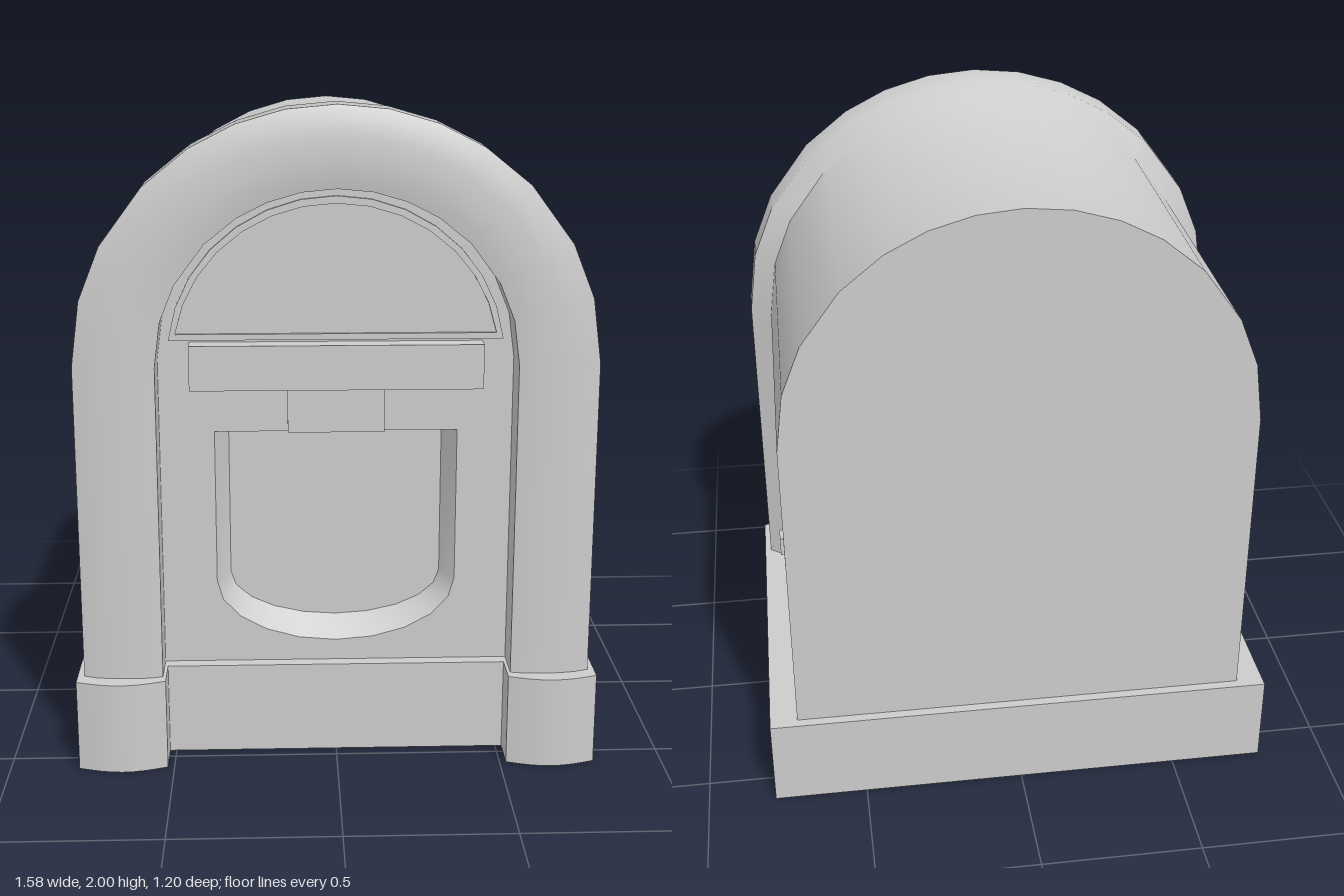
import * as THREE from 'three';
import { toCreasedNormals } from 'three/addons/utils/BufferGeometryUtils.js';

const SPRING = 1.25; // height where straight sides turn into the arch
const FLOOR = 0.285; // top of the base
const PANEL_Z = 0.42;
const HALF = [0, 15, 28, 44, 57, 68, 79];
const ANGLES = [...HALF, 90, ...HALF.map((a) => 180 - a).reverse()].map(THREE.MathUtils.degToRad);

const material = new THREE.MeshStandardMaterial({ color: 0xcccccc });

// Arch outline from the +x foot over the top to the -x foot
const archOutline = (rx, ry) => [
  [rx, FLOOR - 0.01],
  ...ANGLES.map((a) => [rx * Math.cos(a), SPRING + ry * Math.sin(a)]),
  [-rx, FLOOR - 0.01],
];

// Half-round window outline with a flat sill
function windowOutline(rx, ry, sill) {
  const start = Math.asin((sill - SPRING) / ry);
  const points = [];
  for (let i = 0; i <= 14; i++) {
    const a = start + ((Math.PI - 2 * start) * i) / 14;
    points.push([rx * Math.cos(a), SPRING + ry * Math.sin(a)]);
  }
  return points;
}

// Flat-topped opening with a rounded bottom, counter-clockwise
function openingOutline(rx, ry) {
  const points = [[rx, 1.025], [-rx, 1.025]];
  for (let i = 0; i <= 10; i++) {
    const a = Math.PI + (Math.PI * i) / 10;
    points.push([rx * Math.cos(a), 0.55 + ry * Math.sin(a)]);
  }
  return points;
}

const toShape = (points) => new THREE.Shape(points.map(([x, y]) => new THREE.Vector2(x, y)));
const toHole = (points) => new THREE.Path(points.map(([x, y]) => new THREE.Vector2(x, y)));

// Skin between outlines, each given as [points, z]
function loft(rings, closed = false) {
  const n = rings[0][0].length;
  const positions = [];
  const index = [];
  for (const [points, z] of rings) for (const [x, y] of points) positions.push(x, y, z);
  for (let r = 0; r < rings.length - 1; r++) {
    for (let i = 0; i < (closed ? n : n - 1); i++) {
      const a = r * n + i;
      const b = r * n + ((i + 1) % n);
      index.push(a, b, a + n, b, b + n, a + n);
    }
  }
  const geometry = new THREE.BufferGeometry();
  geometry.setAttribute('position', new THREE.Float32BufferAttribute(positions, 3));
  geometry.setIndex(index);
  return toCreasedNormals(geometry, THREE.MathUtils.degToRad(50));
}

export function createModel() {
  const group = new THREE.Group();
  const add = (name, geometry, x = 0, y = 0, z = 0) => {
    const mesh = new THREE.Mesh(geometry, material);
    mesh.name = name;
    mesh.position.set(x, y, z);
    group.add(mesh);
    return mesh;
  };
  const addBox = (name, w, h, d, x, y, z) => add(name, new THREE.BoxGeometry(w, h, d), x, y, z);

  // Base: slab footprint with a bow-fronted foot under each side of the arch
  const foot = [];
  for (let i = 0; i <= 8; i++) {
    const t = i / 8;
    foot.push([0.79 - 0.27 * t, 0.57 + 0.03 * Math.sin(Math.PI * t)]);
  }
  const footprint = [
    [0.79, -0.6], ...foot, [0.52, 0.46],
    [-0.52, 0.46], ...foot.map(([x, z]) => [-x, z]).reverse(), [-0.79, -0.6],
  ].map(([x, z]) => [x, -z]);
  const base = new THREE.ExtrudeGeometry(toShape(footprint), { depth: FLOOR, bevelEnabled: false });
  base.rotateX(-Math.PI / 2);
  add('base', toCreasedNormals(base, 0.6));

  // Vaulted body flaring into the thick rounded front arch
  add('bodyAndFrontArch', loft([
    [0.705, 0.7, -0.57],
    [0.705, 0.7, 0.35],
    [0.77, 0.75, 0.4],
    [0.77, 0.75, 0.525],
    [0.73, 0.71, 0.539],
    [0.68, 0.66, 0.547],
    [0.62, 0.6, 0.549],
    [0.57, 0.553, 0.546],
    [0.53, 0.515, 0.538],
    [0.53, 0.515, PANEL_Z],
  ].map(([rx, ry, z]) => [archOutline(rx, ry), z])));

  const back = new THREE.ShapeGeometry(toShape(archOutline(0.705, 0.7)));
  back.rotateY(Math.PI);
  add('backWall', back, 0, 0, -0.57);

  // Front panel with its funnel-shaped recess
  const outer = openingOutline(0.365, 0.2);
  const inner = openingOutline(0.325, 0.145);
  const panel = toShape(archOutline(0.53, 0.515));
  panel.holes.push(toHole(outer));
  add('frontPanel', new THREE.ShapeGeometry(panel), 0, 0, PANEL_Z);
  add('recessWall', loft([[outer, PANEL_Z], [inner, 0.34]], true));
  add('recessBack', new THREE.ShapeGeometry(toShape(inner)), 0, 0, 0.34);

  // Half-round window trim
  const trim = toShape(windowOutline(0.5, 0.482, 1.307));
  trim.holes.push(toHole(windowOutline(0.482, 0.46, 1.325)));
  add('windowTrim', new THREE.ExtrudeGeometry(trim, { depth: 0.01, bevelEnabled: false }), 0, 0, PANEL_Z);

  // Crossbar and the block hanging below it
  addBox('crossbar', 0.87, 0.135, 0.07, 0, 1.2325, 0.445);
  addBox('crossbarBlock', 0.29, 0.145, 0.04, 0, 1.0975, 0.418);

  // Push button on the left side
  addBox('buttonPlate', 0.02, 0.122, 0.11, 0.702, 0.682, -0.162);
  addBox('button', 0.03, 0.06, 0.055, 0.708, 0.682, -0.162);

  return group;
}
